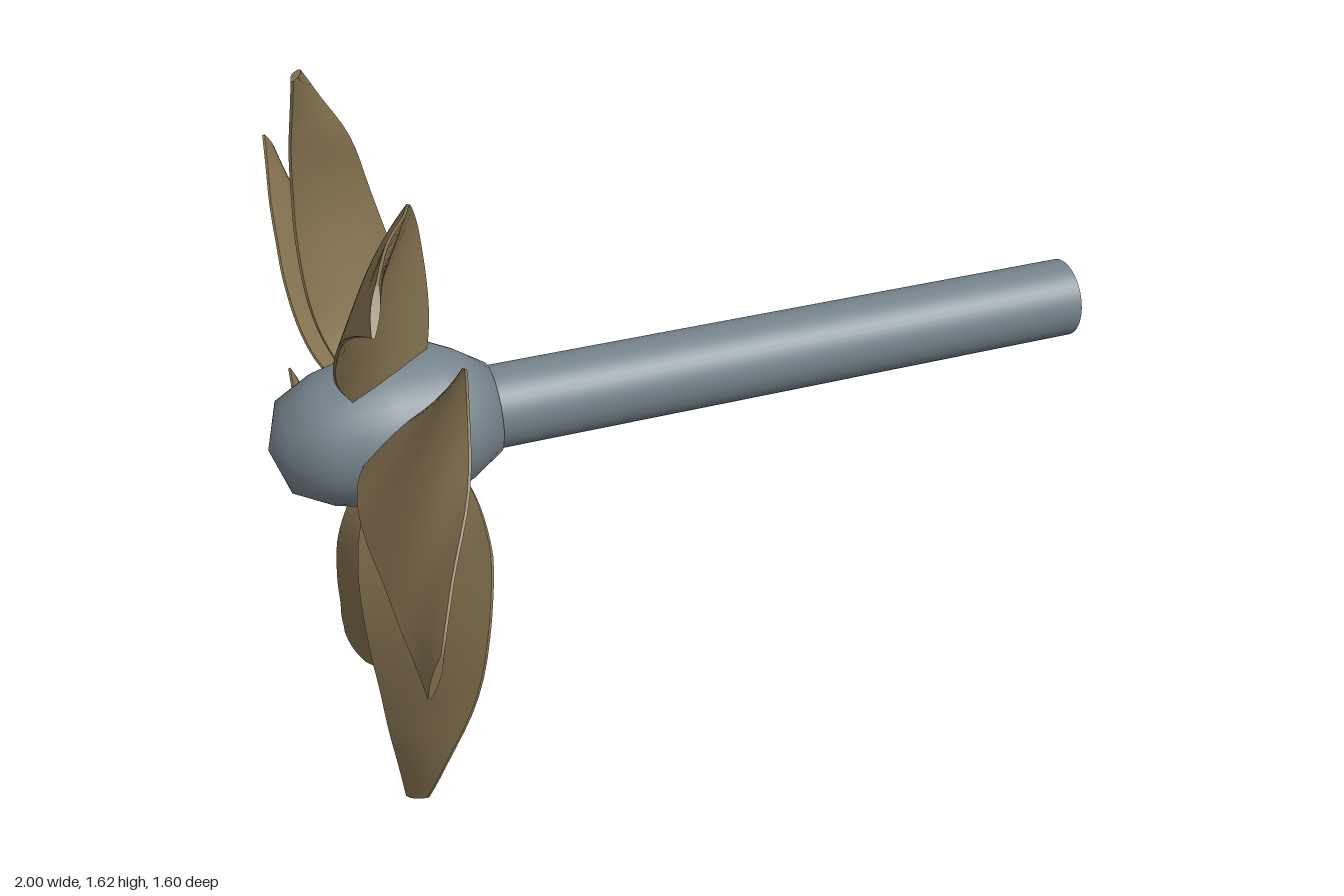
import * as THREE from 'three';
import { toCreasedNormals } from 'three/addons/utils/BufferGeometryUtils.js';

const BLADES = 7;
const STEPS = 28; // cross-sections along a blade
const CHORD = 12; // divisions across a blade

// Blade stations: radius, then angle (degrees) and x of the trailing and leading edge
const STATIONS = [
  [0.12, 19, -0.80, 56, -0.64],
  [0.23, 17.6, -0.845, 59, -0.615],
  [0.33, 15, -0.865, 59, -0.61],
  [0.465, 13.7, -0.87, 56, -0.62],
  [0.565, 12.3, -0.865, 46.3, -0.65],
  [0.66, 9.8, -0.86, 32, -0.695],
  [0.75, 7.3, -0.85, 20.8, -0.765],
  [0.82, 5.4, -0.843, 12.7, -0.812],
];

function bladeGeometry() {
  // One smooth curve per edge, sharing the radius as first coordinate
  const edge = (a, x) => new THREE.CatmullRomCurve3(
    STATIONS.map((s) => new THREE.Vector3(s[0], THREE.MathUtils.degToRad(s[a]), s[x])));
  const trail = edge(1, 2);
  const lead = edge(3, 4);
  const positions = [];
  const index = [];
  const ring = 2 * (CHORD + 1);

  for (let i = 0; i <= STEPS; i++) {
    const a = trail.getPoint(i / STEPS);
    const b = lead.getPoint(i / STEPS);
    const r = a.x;
    // Unit normal of the chord in the unrolled (x, arc) plane
    const dx = b.z - a.z;
    const dt = r * (b.y - a.y);
    const len = Math.hypot(dx, dt);
    const thick = THREE.MathUtils.lerp(0.014, 0.006, i / STEPS);
    for (let j = 0; j < ring; j++) {
      const front = j <= CHORD;
      const t = (front ? j : ring - 1 - j) / CHORD;
      const h = (front ? 1 : -1) * (0.003 + thick * Math.sin(Math.PI * t));
      const x = THREE.MathUtils.lerp(a.z, b.z, t) + (h * dt) / len;
      const angle = THREE.MathUtils.lerp(a.y, b.y, t) - (h * dx) / len / r;
      positions.push(x, r * Math.cos(angle), -r * Math.sin(angle));
    }
  }

  for (let i = 0; i < STEPS; i++) {
    for (let j = 0; j < ring; j++) {
      const p = i * ring + j;
      const q = i * ring + ((j + 1) % ring);
      index.push(p, q, p + ring, q, q + ring, p + ring);
    }
  }
  // Close the tip
  const tip = STEPS * ring;
  for (let j = 0; j < CHORD; j++) {
    const p = tip + j;
    const back = tip + ring - 1 - j;
    index.push(p, p + 1, back, p + 1, back - 1, back);
  }

  const geometry = new THREE.BufferGeometry();
  geometry.setAttribute('position', new THREE.Float32BufferAttribute(positions, 3));
  geometry.setIndex(index);
  return toCreasedNormals(geometry, 0.7);
}

export function createModel() {
  const steel = new THREE.MeshStandardMaterial({ color: 0x75848c });
  steel.name = 'blue grey steel';
  const bronze = new THREE.MeshStandardMaterial({ color: 0x857350 });
  bronze.name = 'dull bronze';

  const model = new THREE.Group();
  model.name = 'propeller';
  const axle = new THREE.Group();
  axle.name = 'axle';
  axle.position.set(0, 0.803, -0.018);
  model.add(axle);

  // Hub, turned around the x axis
  const profile = [[0, -1], [0.105, -0.965], [0.15, -0.88], [0.17, -0.8], [0.177, -0.73],
    [0.174, -0.61], [0.15, -0.56], [0.105, -0.49], [0, -0.488]];
  const hub = new THREE.Mesh(
    new THREE.LatheGeometry(profile.map(([r, y]) => new THREE.Vector2(r, y)), 40), steel);
  hub.name = 'hub';
  hub.rotation.z = -Math.PI / 2;
  axle.add(hub);

  // Drive shaft
  const shaft = new THREE.Mesh(new THREE.CylinderGeometry(0.097, 0.097, 1.52, 40), steel);
  shaft.name = 'shaft';
  shaft.rotation.z = -Math.PI / 2;
  shaft.position.x = 0.24;
  axle.add(shaft);

  // Swept blades
  const geometry = bladeGeometry();
  for (let k = 0; k < BLADES; k++) {
    const blade = new THREE.Mesh(geometry, bronze);
    blade.name = `blade${k + 1}`;
    blade.rotation.x = (-k * 2 * Math.PI) / BLADES;
    axle.add(blade);
  }
  return model;
}
